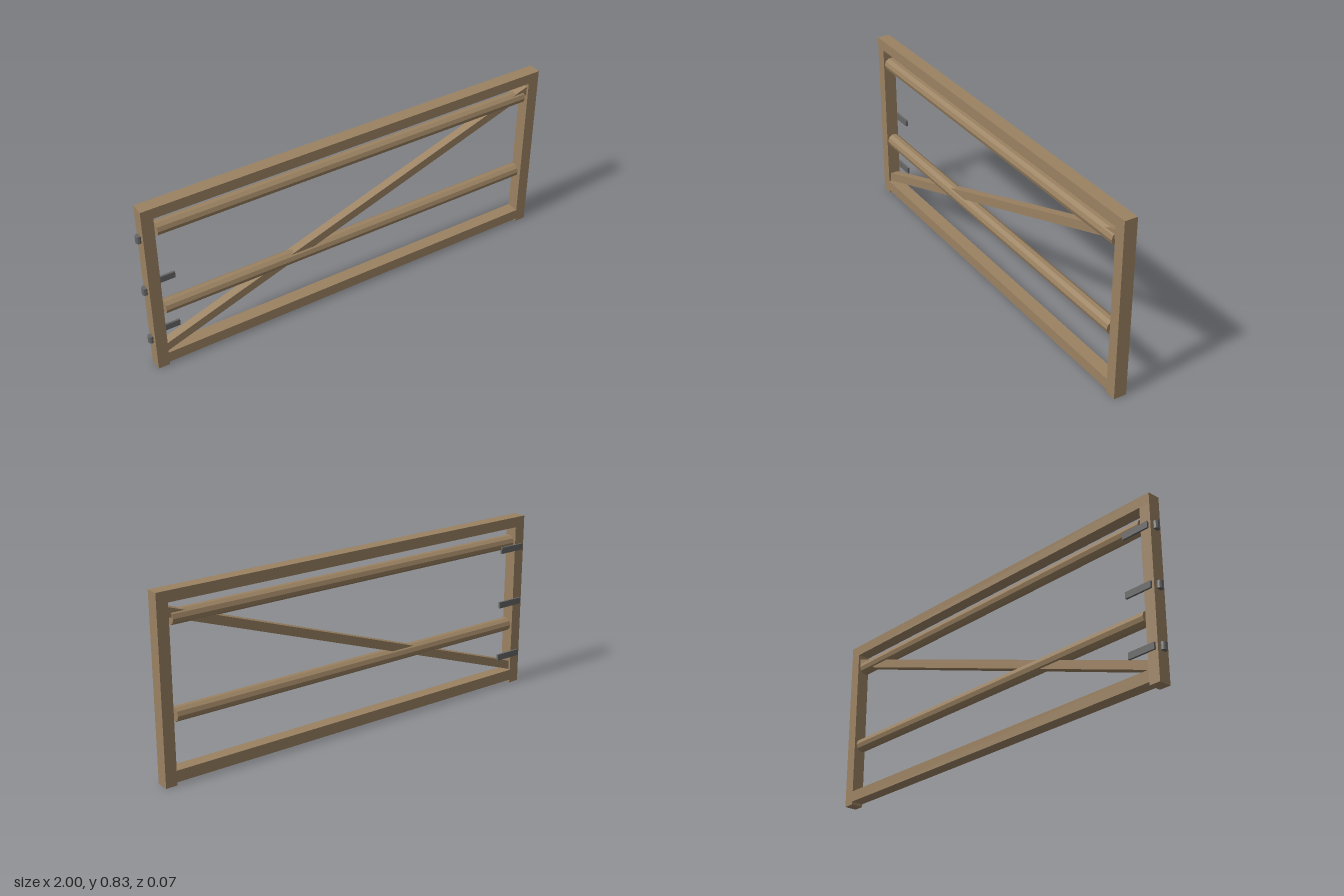
import * as THREE from 'three';

const wood = new THREE.MeshStandardMaterial({ color: 0x9b8262, flatShading: true });
const iron = new THREE.MeshStandardMaterial({ color: 0x666666, flatShading: true });
const Z = 0.003;      // centre plane of the timber
const DEPTH = 0.06;   // timber thickness

export function createModel() {
  const gate = new THREE.Group();
  gate.name = 'fieldGate';

  const add = (name, geometry, material, x, y, z) => {
    const mesh = new THREE.Mesh(geometry, material);
    mesh.name = name;
    mesh.position.set(x, y, z);
    gate.add(mesh);
    return mesh;
  };
  // box given by its x and y limits
  const beam = (name, x0, x1, y0, y1) =>
    add(name, new THREE.BoxGeometry(x1 - x0, y1 - y0, DEPTH), wood, (x0 + x1) / 2, (y0 + y1) / 2, Z);

  // Outer frame
  beam('hingePost', -0.98, -0.927, 0, 0.786);
  beam('latchPost', 0.947, 1, 0, 0.786);
  beam('topRail', -0.98, 1, 0.786, 0.835);
  beam('bottomRail', -0.927, 0.947, 0.014, 0.066);

  // Round poles, stopping just short of or at the posts
  for (const [name, y] of [['upperPole', 0.714], ['lowerPole', 0.301]]) {
    const pole = new THREE.CylinderGeometry(0.0325, 0.0325, 1.845, 10).rotateZ(Math.PI / 2);
    add(name, pole, wood, 0.0075, y, Z);
  }

  // Diagonal brace between the posts, its ends cut upright
  const xa = -0.93, xb = 0.95, ya = 0.088, yb = 0.745, half = 0.021;
  const outline = new THREE.Shape([
    new THREE.Vector2(xa, ya - half), new THREE.Vector2(xb, yb - half),
    new THREE.Vector2(xb, yb + half), new THREE.Vector2(xa, ya + half),
  ]);
  const brace = new THREE.ExtrudeGeometry(outline, { depth: 0.04, bevelEnabled: false });
  add('diagonalBrace', brace, wood, 0, 0, Z - 0.02);

  // Hinges: strap on the back face, upright knuckle on the outer edge
  for (const y of [0.152, 0.418, 0.688]) {
    add('hingeStrap', new THREE.BoxGeometry(0.134, 0.03, 0.01), iron, -0.902, y, -0.031);
    add('hingeKnuckle', new THREE.CylinderGeometry(0.014, 0.014, 0.034, 10), iron, -0.986, y, 0);
  }

  return gate;
}
